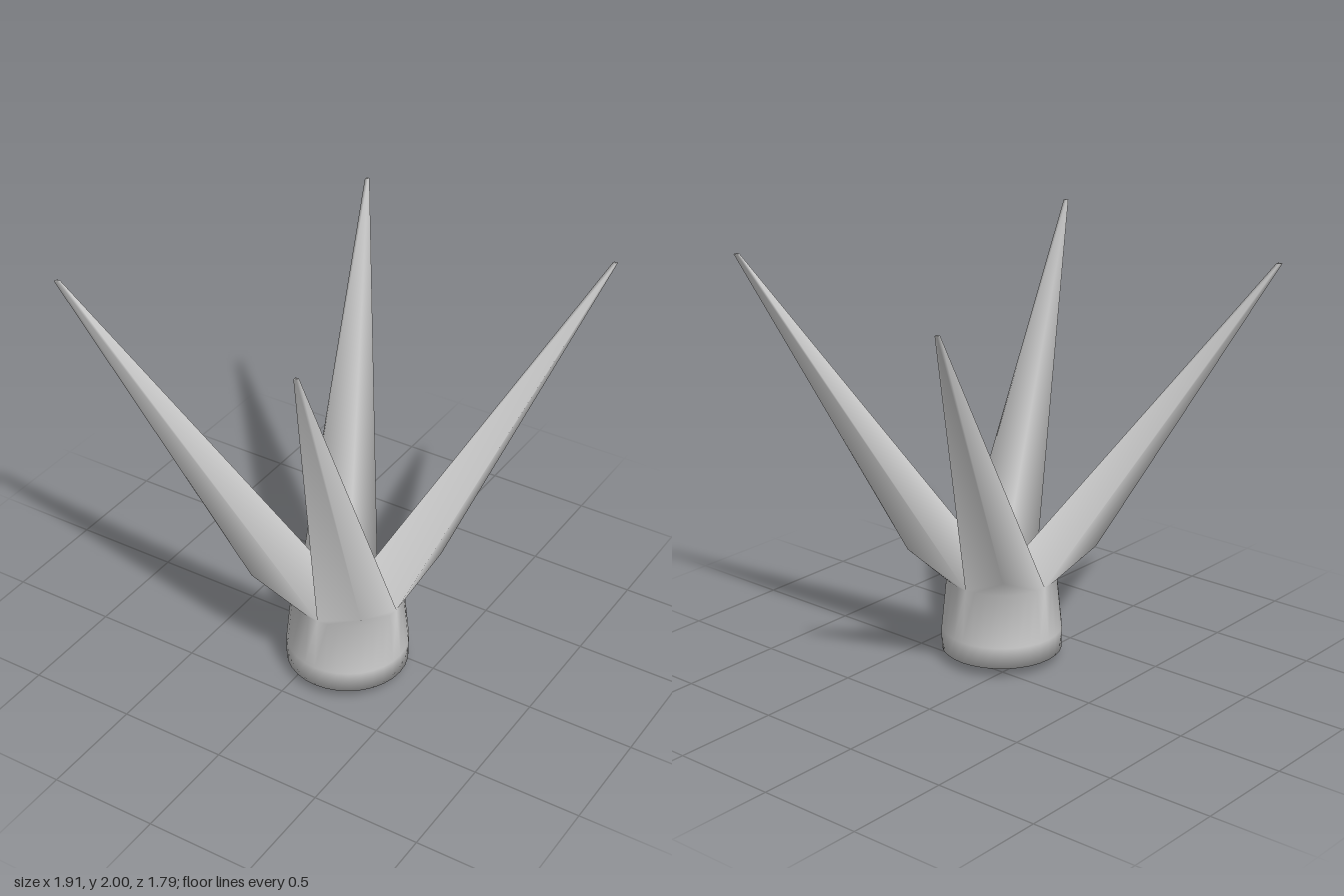
import * as THREE from 'three';

const CENTRE = [0.135, 0.155]; // axis of the round base (x, z)
const SEGMENTS = 32;
const RINGS = [[0.28, 0.05], [0.28, 0.15], [0.255, 0.4]]; // base profile: radius, height

// One spike per quadrant, counted from +x towards +z
const SPIKES = [
  { name: 'frontLeftSpike', tip: [0.357, 2, 0.885] },
  { name: 'frontRightSpike', tip: [-0.945, 1.94, 0.7] },
  { name: 'backRightSpike', tip: [-0.415, 1.87, -0.885] },
  { name: 'backLeftSpike', tip: [0.94, 1.94, -0.665] },
];

export function createModel() {
  const positions = [];
  const add = (x, y, z) => positions.push(x, y, z) / 3 - 1;
  const base = [];
  const spikes = [];

  // Strip between two matching rows of vertices
  const strip = (out, low, high, closed) => {
    const n = low.length;
    for (let i = 0; i < (closed ? n : n - 1); i++) {
      const j = (i + 1) % n;
      out.push(low[i], high[i], low[j], high[i], high[j], low[j]);
    }
  };

  // Round base, closed below by a shallow point
  const rings = RINGS.map(([r, y]) => Array.from({ length: SEGMENTS }, (_, i) => {
    const a = (i / SEGMENTS) * Math.PI * 2;
    return add(CENTRE[0] + r * Math.cos(a), y, CENTRE[1] + r * Math.sin(a));
  }));
  const point = add(CENTRE[0], 0, CENTRE[1]);
  strip(base, rings[0], rings[1], true);
  strip(base, rings[1], rings[2], true);
  rings[0].forEach((v, i) => base.push(point, v, rings[0][(i + 1) % SEGMENTS]));

  // Spikes: four-sided, all meeting at the middle of the base's top
  const middle = add(CENTRE[0], 0.4, CENTRE[1]);
  const quarter = SEGMENTS / 4;
  const [rimRadius, rimHeight] = RINGS[2];
  SPIKES.forEach(({ tip }, q) => {
    const sx = q === 0 || q === 3 ? 1 : -1;
    const sz = q < 2 ? 1 : -1;
    const rim = Array.from({ length: quarter + 1 }, (_, i) => rings[2][(q * quarter + i) % SEGMENTS]);

    // Outer elbow: the square corner of the quadrant, slid a little towards the tip
    const corner = new THREE.Vector3(CENTRE[0] + sx * rimRadius, rimHeight, CENTRE[1] + sz * rimRadius);
    corner.lerp(new THREE.Vector3(...tip), 0.09);
    const elbow = add(corner.x, corner.y, corner.z);
    const faces = [];
    for (let i = 0; i < quarter; i++) faces.push(rim[i], elbow, rim[i + 1]);

    // Tapering shaft with a tiny flat end
    const foot = [rim[0], elbow, rim[quarter], middle];
    const end = foot.map((v) => add(
      tip[0] + 0.06 * (positions[v * 3] - CENTRE[0] - sx * 0.14),
      tip[1],
      tip[2] + 0.06 * (positions[v * 3 + 2] - CENTRE[1] - sz * 0.14),
    ));
    strip(faces, foot, end, true);
    faces.push(end[0], end[2], end[1], end[0], end[3], end[2]);
    spikes.push(faces);
  });

  // Normals are shared over the whole surface so the parts blend smoothly
  const whole = new THREE.BufferGeometry();
  whole.setAttribute('position', new THREE.Float32BufferAttribute(positions, 3));
  whole.setIndex([...base, ...spikes.flat()]);
  whole.computeVertexNormals();

  const material = new THREE.MeshStandardMaterial({ color: 0xcccccc });
  const group = new THREE.Group();
  group.name = 'spikedCluster';
  const addPart = (name, faces) => {
    const mesh = new THREE.Mesh(whole.clone().setIndex(faces).toNonIndexed(), material);
    mesh.name = name;
    group.add(mesh);
  };
  addPart('base', base);
  SPIKES.forEach(({ name }, q) => addPart(name, spikes[q]));
  return group;
}
